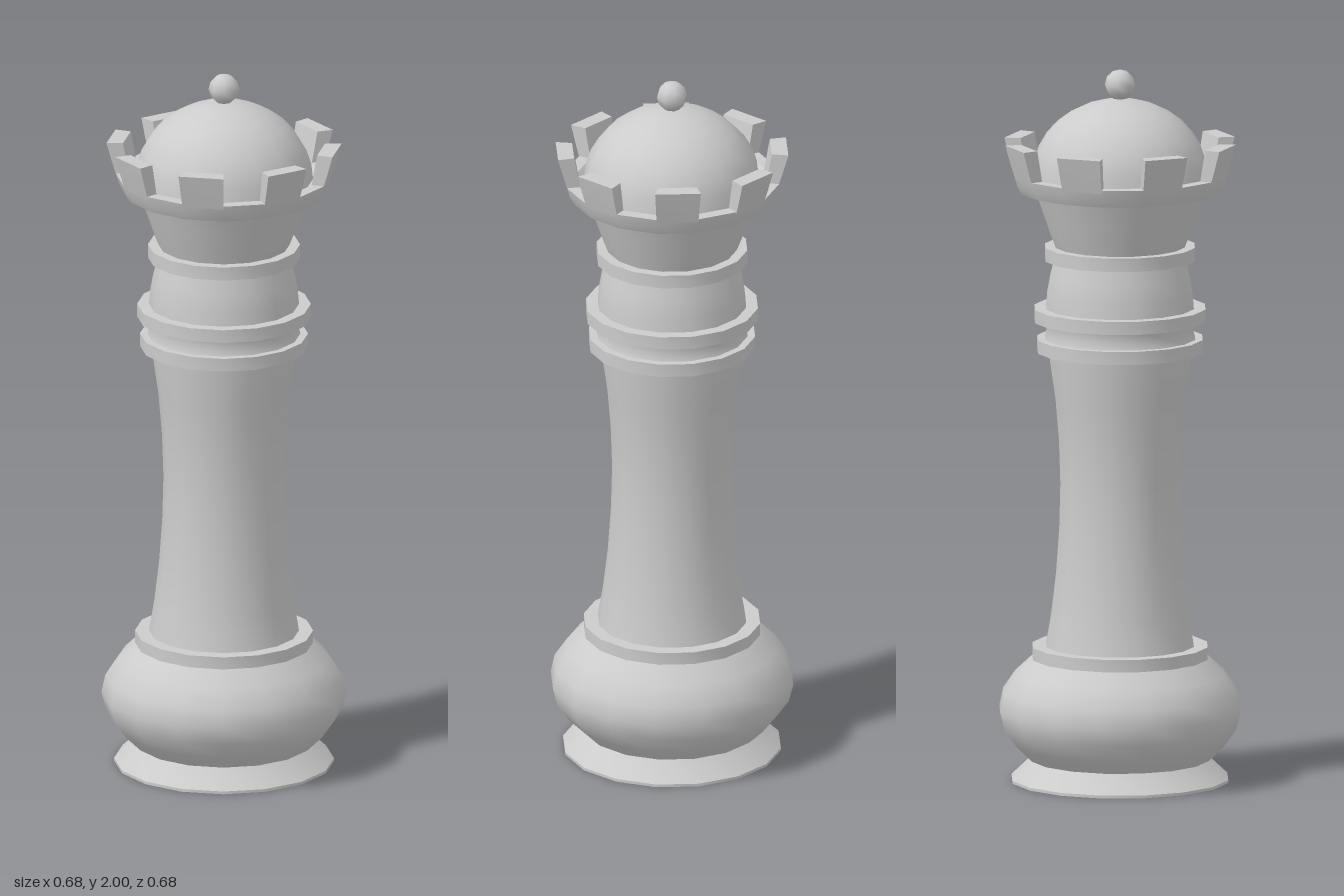
import * as THREE from 'three';
import { mergeGeometries, toCreasedNormals } from 'three/addons/utils/BufferGeometryUtils.js';

const SIDES = 16;
const STEP = (Math.PI * 2) / SIDES;
const material = new THREE.MeshStandardMaterial({ color: 0xcccccc, side: THREE.DoubleSide });

const toPoints = (profile) => profile.map(([r, y]) => new THREE.Vector2(r, y));

// Turned part from [radius, height] pairs, listed from bottom to top
function turned(name, profile) {
  const geometry = toCreasedNormals(new THREE.LatheGeometry(toPoints(profile), SIDES), 0.75);
  const mesh = new THREE.Mesh(geometry, material);
  mesh.name = name;
  return mesh;
}

// Flat-edged collar around the stem
const collar = (name, inner, outer, y0, y1) =>
  turned(name, [[inner, y0], [outer, y0], [outer, y1], [inner, y1]]);

// One battlement: a single lathe segment with a closed section and end caps
function merlonGeometry() {
  const section = [[0.262, 1.7], [0.297, 1.7], [0.311, 1.745], [0.326, 1.798], [0.28, 1.798], [0.27, 1.745], [0.262, 1.7]];
  const points = toPoints(section);
  const parts = [new THREE.LatheGeometry(points, 1, -STEP, STEP)];
  for (const phi of [-STEP, 0]) {
    parts.push(new THREE.ShapeGeometry(new THREE.Shape(points)).rotateY(phi - Math.PI / 2));
  }
  return toCreasedNormals(mergeGeometries(parts), 0.6);
}

export function createModel() {
  const model = new THREE.Group();
  model.name = 'chessQueen';

  // Flared foot, round bulge and square shoulder
  model.add(turned('base', [
    [0, 0], [0.305, 0], [0.305, 0.008], [0.25, 0.06], [0.293, 0.102], [0.327, 0.15], [0.34, 0.2],
    [0.329, 0.25], [0.295, 0.3], [0.247, 0.345], [0.247, 0.38], [0.2, 0.38],
  ]));

  // Waisted stem
  model.add(turned('stem', [
    [0.208, 0.38], [0.193, 0.47], [0.18, 0.58], [0.171, 0.71], [0.168, 0.83],
    [0.172, 0.95], [0.182, 1.07], [0.198, 1.18], [0.2, 1.21],
  ]));

  // Collars and the neck sections between them
  model.add(collar('lowerCollar', 0.19, 0.233, 1.208, 1.245));
  model.add(turned('collarSpacer', [[0.212, 1.245], [0.205, 1.27], [0.212, 1.296]]));
  model.add(collar('middleCollar', 0.19, 0.241, 1.294, 1.331));
  model.add(turned('neck', [[0.208, 1.331], [0.205, 1.37], [0.196, 1.42], [0.183, 1.468]]));
  model.add(collar('upperCollar', 0.17, 0.211, 1.466, 1.504));

  // Flared head and rim that carries the battlements
  model.add(turned('head', [[0.182, 1.504], [0.196, 1.54], [0.215, 1.595], [0.238, 1.66]]));
  model.add(turned('crownRim', [
    [0.235, 1.66], [0.28, 1.66], [0.291, 1.68], [0.3, 1.71], [0.265, 1.71], [0.245, 1.69],
  ]));

  // Eight battlements around the rim
  const crown = new THREE.Group();
  crown.name = 'battlements';
  const geometry = merlonGeometry();
  for (let i = 0; i < SIDES / 2; i++) {
    const merlon = new THREE.Mesh(geometry, material);
    merlon.name = 'battlement';
    merlon.rotation.y = i * 2 * STEP;
    crown.add(merlon);
  }
  model.add(crown);

  // Dome, a flattened half sphere
  const dome = [];
  for (let i = 0; i <= 8; i++) {
    const a = (i / 8) * Math.PI / 2;
    dome.push([i === 8 ? 0 : 0.247 * Math.cos(a), 1.695 + 0.222 * Math.sin(a)]);
  }
  model.add(turned('dome', dome));

  // Small ball on top
  const finial = new THREE.Mesh(new THREE.SphereGeometry(0.043, 8, 6), material);
  finial.name = 'finial';
  finial.position.y = 1.957;
  model.add(finial);

  return model;
}
